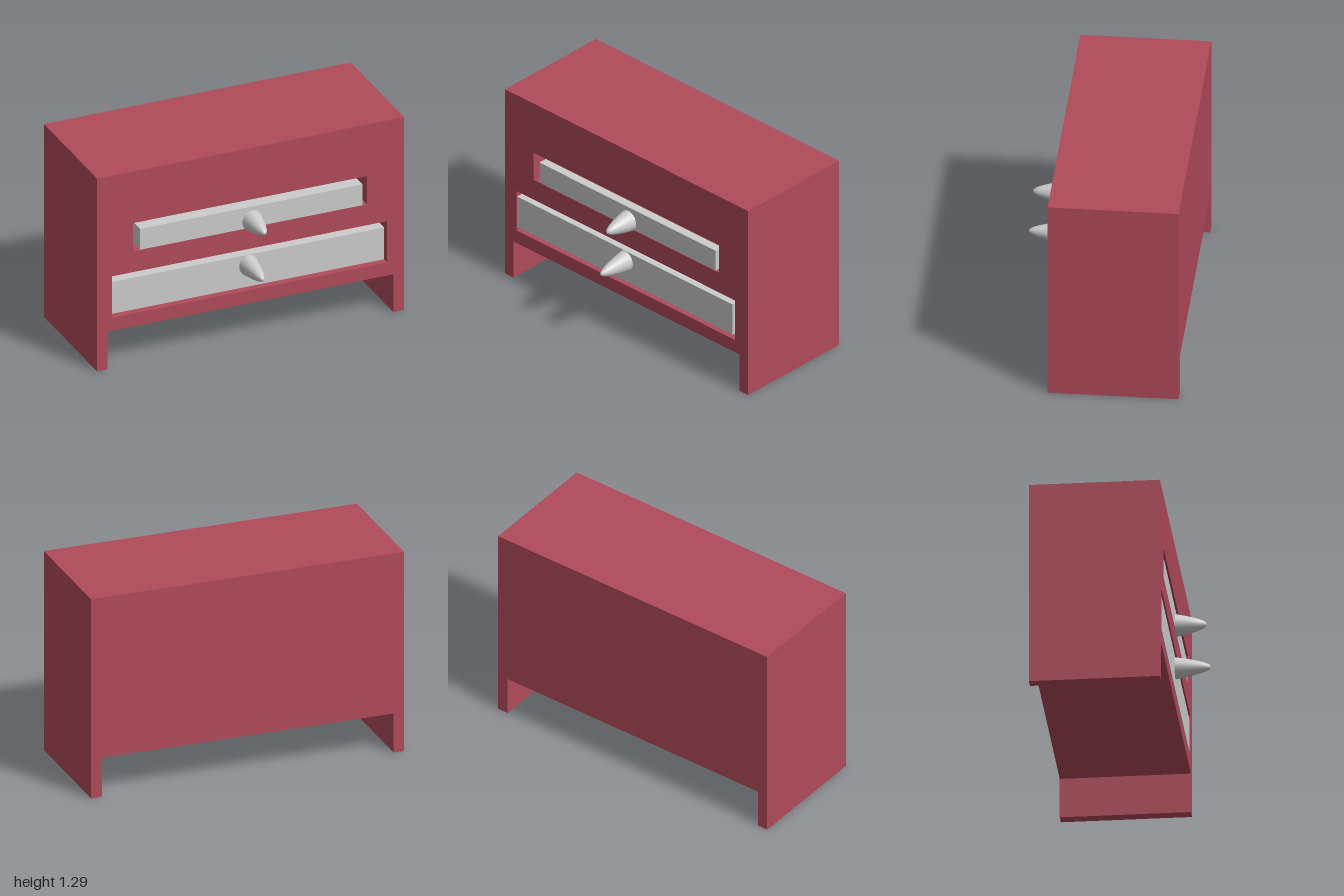
import * as THREE from 'three';

const BACK = -0.5, FRONT = 0.285, PANEL = 0.05;

// Openings and drawers are [x0, x1, y0, y1]; knobs are centre, radii and tip z
const DRAWERS = [
  { name: 'upper', opening: [-0.765, 0.76, 0.755, 0.945], box: [-0.72, 0.73, 0.756, 0.895],
    knob: { x: 0.012, y: 0.8, rx: 0.067, ry: 0.071, tip: 0.47 } },
  { name: 'lower', opening: [-0.905, 0.89, 0.34, 0.617], box: [-0.904, 0.87, 0.365, 0.578],
    knob: { x: -0.012, y: 0.508, rx: 0.063, ry: 0.069, tip: 0.497 } },
];

const corners = ([x0, x1, y0, y1]) =>
  [[x0, y0], [x0, y1], [x1, y1], [x1, y0]].map(([x, y]) => new THREE.Vector2(x, y));

// Cabinet outline with the gap between the two side legs
function cabinetShape() {
  return new THREE.Shape([
    [-1, 0], [-0.932, 0], [-0.932, 0.253], [0.93, 0.253],
    [0.93, 0], [1, 0], [1, 1.29], [-1, 1.29],
  ].map(([x, y]) => new THREE.Vector2(x, y)));
}

function slab(shape, z0, z1) {
  const geometry = new THREE.ExtrudeGeometry(shape, { depth: z1 - z0, bevelEnabled: false });
  return geometry.translate(0, 0, z0);
}

// Bullet-shaped knob with a parabolic profile, pointing forward
function knobGeometry({ x, y, rx, ry, tip }) {
  const base = 0.27, profile = [];
  for (let i = 0; i <= 16; i++) {
    const r = 1 - i / 16;
    profile.push(new THREE.Vector2(r, 1 - r * r));
  }
  return new THREE.LatheGeometry(profile, 32)
    .rotateX(Math.PI / 2)
    .scale(rx, ry, tip - base)
    .translate(x, y, base);
}

export function createModel() {
  const group = new THREE.Group();
  const red = new THREE.MeshStandardMaterial({ color: 0xb04a5a });
  const grey = new THREE.MeshStandardMaterial({ color: 0xcccccc });

  const add = (name, geometry, material) => {
    const mesh = new THREE.Mesh(geometry, material);
    mesh.name = name;
    group.add(mesh);
  };

  // Cabinet body with drawer openings, closed by a back panel
  const body = cabinetShape();
  for (const { opening } of DRAWERS) body.holes.push(new THREE.Path(corners(opening)));
  add('cabinetBody', slab(body, BACK + PANEL, FRONT), red);
  add('backPanel', slab(cabinetShape(), BACK, BACK + PANEL), red);

  // Drawers, set flush in their openings, each with one knob
  for (const { name, box, knob } of DRAWERS) {
    add(name + 'Drawer', slab(new THREE.Shape(corners(box)), BACK + PANEL + 0.02, FRONT - 0.002), grey);
    add(name + 'Knob', knobGeometry(knob), grey);
  }

  return group;
}
